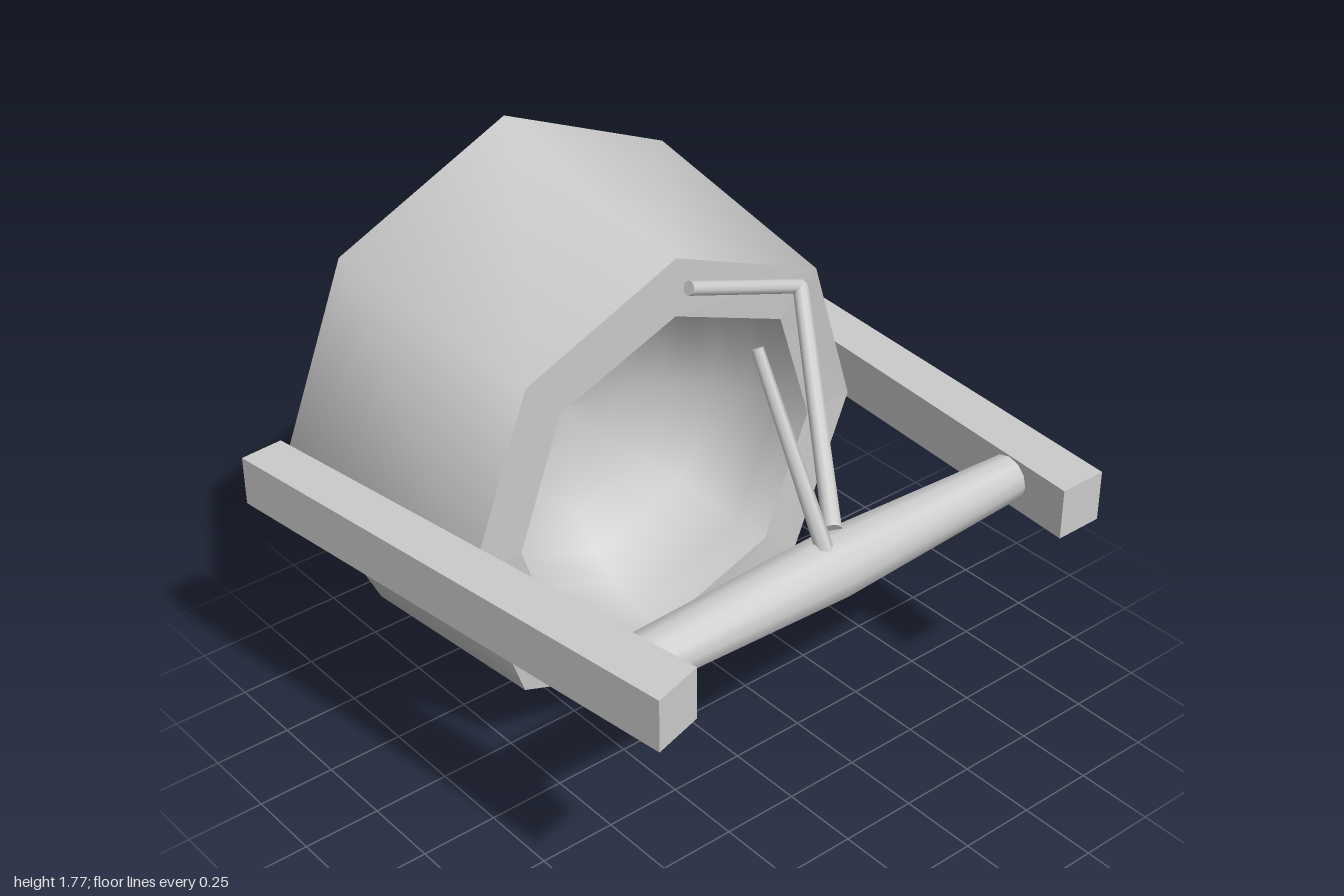
import * as THREE from 'three';

const material = new THREE.MeshStandardMaterial({ color: 0xcccccc, side: THREE.DoubleSide });

function addMesh(group, name, geometry) {
  const mesh = new THREE.Mesh(geometry, material);
  mesh.name = name;
  group.add(mesh);
}

// Skin between closed rings of [x, y, z] points
function loft(rings, flat = false) {
  const n = rings[0].length;
  const index = [];
  for (let r = 0; r < rings.length - 1; r++) {
    for (let i = 0; i < n; i++) {
      const j = (i + 1) % n;
      const a = r * n + i, b = r * n + j, c = a + n, d = b + n;
      index.push(a, c, b, b, c, d);
    }
  }
  let g = new THREE.BufferGeometry();
  g.setAttribute('position', new THREE.Float32BufferAttribute(rings.flat(2), 3));
  g.setIndex(index);
  if (flat) g = g.toNonIndexed();
  g.computeVertexNormals();
  return g;
}

// Round rod between two points
function rod(from, to, r0, r1 = r0, sides = 10) {
  const a = new THREE.Vector3(...from), b = new THREE.Vector3(...to);
  const dir = b.clone().sub(a);
  const g = new THREE.CylinderGeometry(r1, r0, dir.length(), sides);
  g.applyQuaternion(new THREE.Quaternion().setFromUnitVectors(new THREE.Vector3(0, 1, 0), dir.normalize()));
  const m = a.add(b).multiplyScalar(0.5);
  return g.translate(m.x, m.y, m.z);
}

// Square beam, open at the rear; each end is { x: [min, max], y: [min, max], z: [at min x, at max x] }
function beam(front, back) {
  const g = new THREE.BoxGeometry(1, 1, 1);
  g.setIndex(Array.from(g.index.array).slice(0, 30));
  const p = g.attributes.position;
  for (let i = 0; i < p.count; i++) {
    const e = p.getZ(i) > 0 ? front : back;
    const sx = p.getX(i) > 0 ? 1 : 0, sy = p.getY(i) > 0 ? 1 : 0;
    p.setXYZ(i, e.x[sx], e.y[sy], e.z[sx]);
  }
  g.computeVertexNormals();
  return g;
}

export function createModel() {
  const model = new THREE.Group();
  model.name = 'engineNacelle';

  // Octagonal rings, counter-clockwise from the left side
  const backRing = [[0.86, 0.88], [0.61, 1.5], [0, 1.77], [-0.61, 1.5],
    [-0.86, 0.88], [-0.56, 0.26], [0, 0], [0.55, 0.26]].map(([x, y]) => [x, y, -0.845]);
  const frontRing = [[0.75, 0.86, -0.1], [0.54, 1.4, -0.04], [0, 1.62, -0.04], [-0.54, 1.4, -0.04],
    [-0.75, 0.86, -0.04], [-0.55, 0.33, -0.09], [0, 0.1, -0.135], [0.53, 0.33, -0.1]];
  const holeRing = [[0.57, 0.86, -0.09], [0.41, 1.27, -0.05], [0, 1.43, -0.045], [-0.42, 1.27, -0.045],
    [-0.57, 0.86, -0.05], [-0.42, 0.45, -0.085], [0, 0.28, -0.12], [0.41, 0.45, -0.1]];

  addMesh(model, 'outerShell', loft([frontRing, backRing]));
  addMesh(model, 'frontRim', loft([holeRing, frontRing], true));

  // Rounded bowl recessed behind the rim
  const bowl = [holeRing];
  for (let k = 1; k <= 7; k++) {
    const t = (k / 7) * Math.PI / 2;
    const s = Math.cos(t), depth = 0.52 * Math.sin(t);
    bowl.push(holeRing.map(([x, y, z]) => [x * s, 0.86 + (y - 0.86) * s, -0.08 + (z + 0.08) * s - depth]));
  }
  addMesh(model, 'bowl', loft(bowl));

  // Side beams
  addMesh(model, 'leftBeam', beam(
    { x: [0.72, 0.88], y: [0.81, 0.975], z: [0.84, 0.84] },
    { x: [0.855, 1.0], y: [0.79, 0.965], z: [-0.845, -0.845] }));
  addMesh(model, 'rightBeam', beam(
    { x: [-0.795, -0.63], y: [0.81, 0.98], z: [0.845, 0.8] },
    { x: [-1.0, -0.86], y: [0.81, 0.97], z: [-0.84, -0.85] }));

  // Crossbar, thickest in the middle
  const stations = [[-0.66, 0.082], [0.02, 0.102], [0.73, 0.073]];
  const crossbar = stations.map(([x, r]) => Array.from({ length: 12 }, (_, i) => {
    const a = (i / 12) * Math.PI * 2;
    return [x, 0.904 + r * Math.cos(a), 0.61 - r * Math.sin(a)];
  }));
  addMesh(model, 'crossbar', loft(crossbar.reverse()));

  // Thin rods standing on the crossbar
  addMesh(model, 'uprightRod', rod([-0.02, 0.98, 0.63], [-0.02, 1.5, 0.33], 0.026, 0.018, 6));
  addMesh(model, 'diagonalRod', rod([0.05, 1.0, 0.58], [0.45, 1.385, -0.01], 0.028, 0.024));
  addMesh(model, 'tipRod', rod([0.45, 1.385, -0.01], [0.02, 1.53, -0.01], 0.022));

  return model;
}
